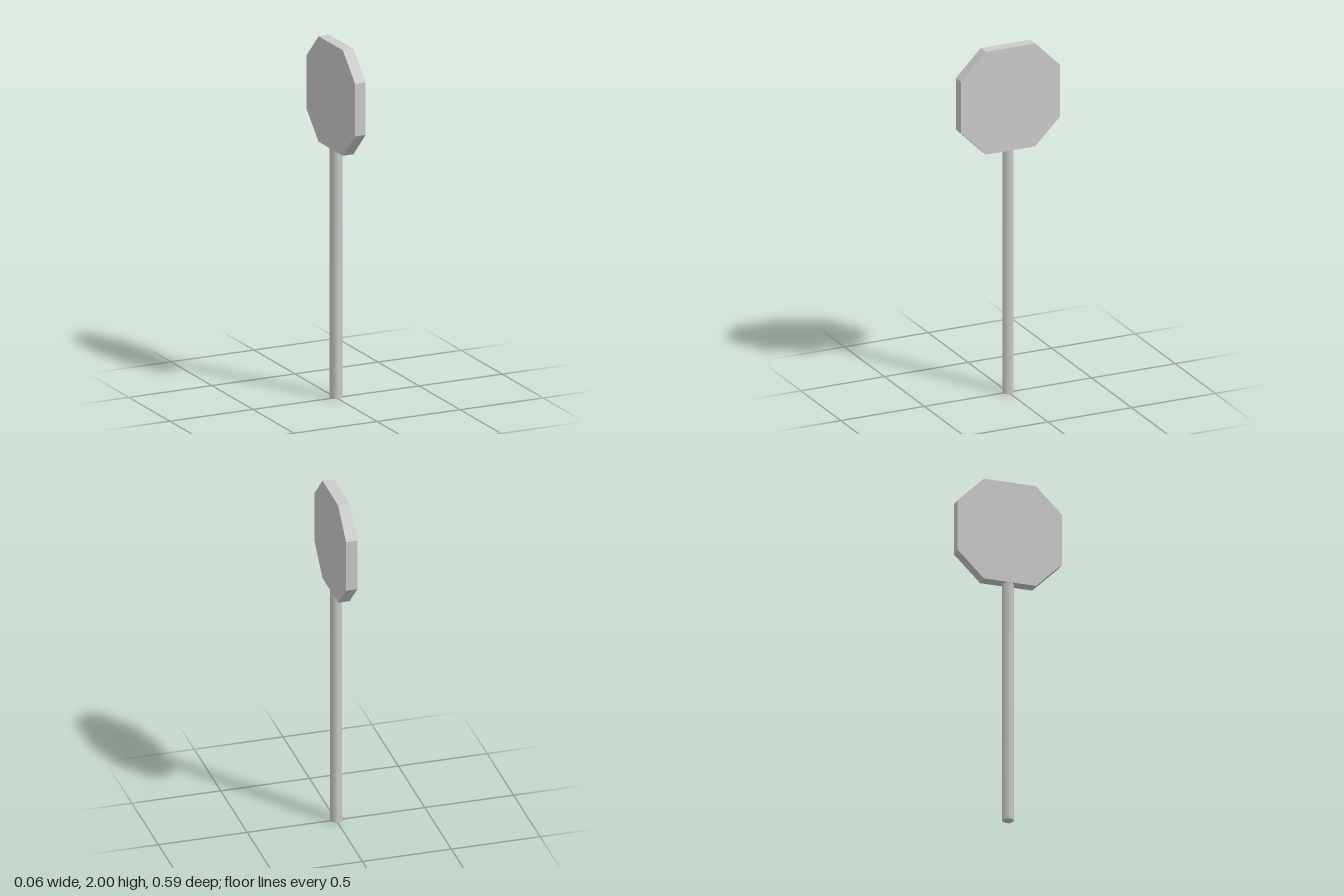
import * as THREE from 'three';

export function createModel() {
  const model = new THREE.Group();
  const material = new THREE.MeshStandardMaterial({ color: 0xcccccc });

  // Octagonal sign plate facing along x
  const half = 0.297, flat = 0.148, thickness = 0.064, centerY = 1.703;
  const outline = new THREE.Shape([
    [half, -flat], [half, flat], [flat, half], [-flat, half],
    [-half, flat], [-half, -flat], [-flat, -half], [flat, -half],
  ].map(([x, y]) => new THREE.Vector2(x, y)));
  const plateGeometry = new THREE.ExtrudeGeometry(outline, { depth: thickness, bevelEnabled: false });
  plateGeometry.translate(0, 0, -thickness / 2).rotateY(Math.PI / 2);
  const plate = new THREE.Mesh(plateGeometry, material);
  plate.name = 'signPlate';
  plate.position.y = centerY;
  model.add(plate);

  // Six-sided post, corners on the z axis, meeting the underside of the plate
  const postHeight = centerY - half;
  const post = new THREE.Mesh(new THREE.CylinderGeometry(0.034, 0.034, postHeight, 6), material);
  post.name = 'post';
  post.position.y = postHeight / 2;
  model.add(post);

  return model;
}
